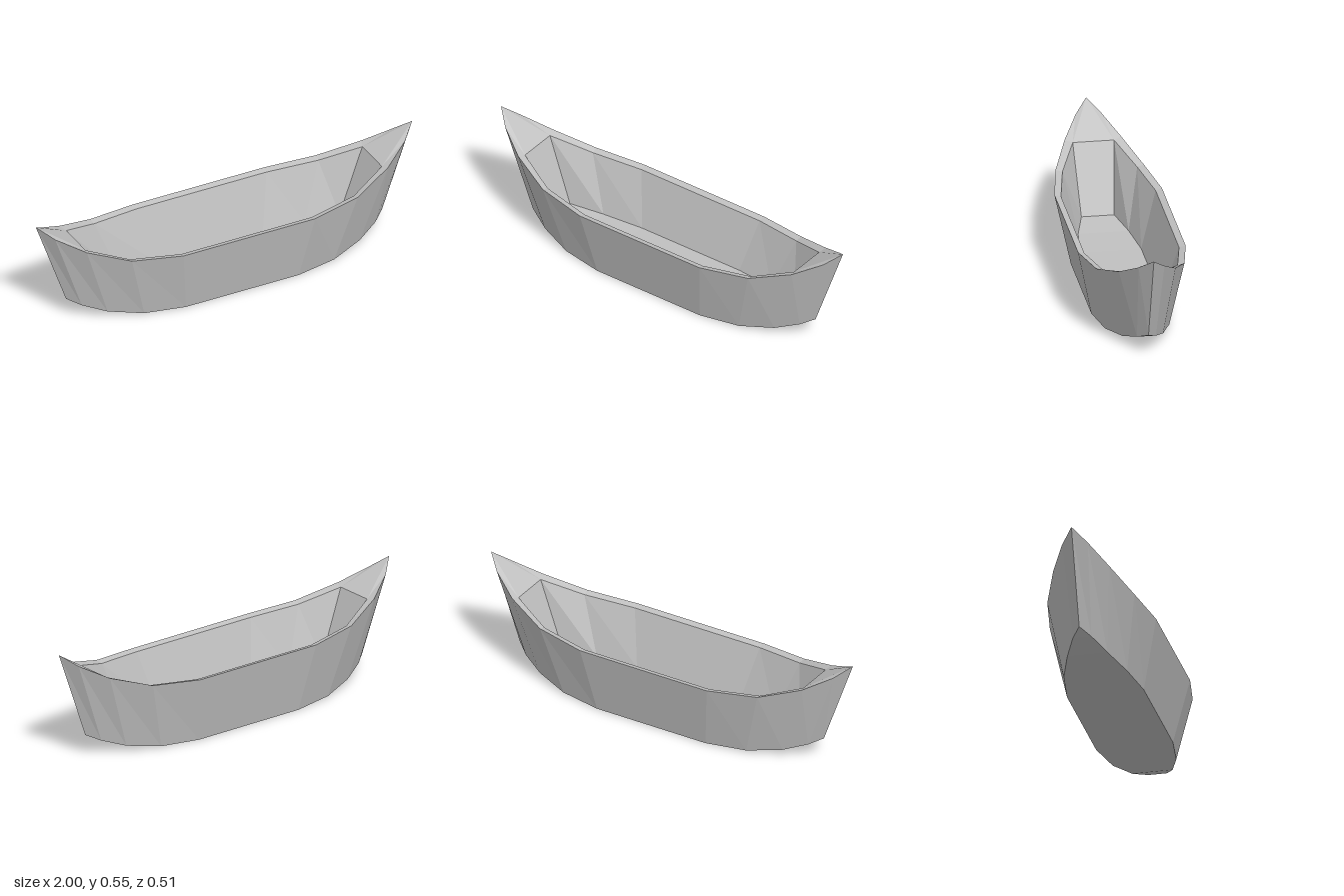
import * as THREE from 'three';

// Quarter outlines [x, y, z], from the stem to amidships
const SHEER = [[1, 0.545, 0], [0.93, 0.49, 0.062], [0.8, 0.42, 0.135], [0.6, 0.356, 0.21], [0.35, 0.337, 0.256]];
const KEEL = [[0.84, 0.102, 0], [0.78, 0.073, 0.045], [0.67, 0.035, 0.097], [0.505, 0.008, 0.153], [0.3, 0, 0.185]];
const COAMING_END = [0.787, 0.41, 0.098];
const COAMING = [COAMING_END, COAMING_END, COAMING_END, [0.595, 0.347, 0.178], [0.345, 0.329, 0.225]];
const FLOOR_END = [0.655, 0.085, 0.078];
const FLOOR = [FLOOR_END, FLOOR_END, FLOOR_END, [0.49, 0.07, 0.12], [0.285, 0.062, 0.147]];

// Mirror a quarter into a closed loop of 20 points: bow, front side, stern, back side
function mirrorLoop(quarter) {
  const side = (sx, sz) => quarter.map(([x, y, z]) => new THREE.Vector3(x * sx, y, z * sz));
  return [...side(1, 1), ...side(-1, 1).reverse(), ...side(-1, -1), ...side(1, -1).reverse()];
}

// Faceted geometry from quads; collapsed triangles are dropped
function facets(quads) {
  const pos = [];
  const tri = (a, b, c) => {
    if (new THREE.Triangle(a, b, c).getArea() < 1e-7) return;
    for (const p of [a, b, c]) pos.push(p.x, p.y, p.z);
  };
  for (const [a, b, c, d] of quads) {
    tri(a, b, c);
    tri(a, c, d);
  }
  const geometry = new THREE.BufferGeometry();
  geometry.setAttribute('position', new THREE.Float32BufferAttribute(pos, 3));
  geometry.computeVertexNormals();
  return geometry;
}

// Band of quads between two loops
function band(a, b) {
  return facets(a.map((p, i) => {
    const j = (i + 1) % a.length;
    return [p, b[i], b[j], a[j]];
  }));
}

// Planking across a loop, from its front side to its back side
function cap(loop, up) {
  const quads = [];
  const n = loop.length;
  for (let i = 0; i < n / 2 - 1; i++) {
    const q = [loop[i], loop[i + 1], loop[n - 2 - i], loop[n - 1 - i]];
    quads.push(up ? q.reverse() : q);
  }
  return facets(quads);
}

export function createModel() {
  const group = new THREE.Group();
  group.name = 'boat';
  const hullGrey = new THREE.MeshStandardMaterial({ color: 0xc0c0c0, flatShading: true });
  hullGrey.name = 'hullGrey';

  const [sheer, keel, coaming, floor] = [SHEER, KEEL, COAMING, FLOOR].map(mirrorLoop);
  const parts = {
    hullSides: band(keel, sheer),
    hullBottom: cap(keel, false),
    gunwaleAndDecks: band(sheer, coaming),
    innerWalls: band(coaming, floor),
    floor: cap(floor, true),
  };
  for (const [name, geometry] of Object.entries(parts)) {
    const mesh = new THREE.Mesh(geometry, hullGrey);
    mesh.name = name;
    group.add(mesh);
  }
  return group;
}
